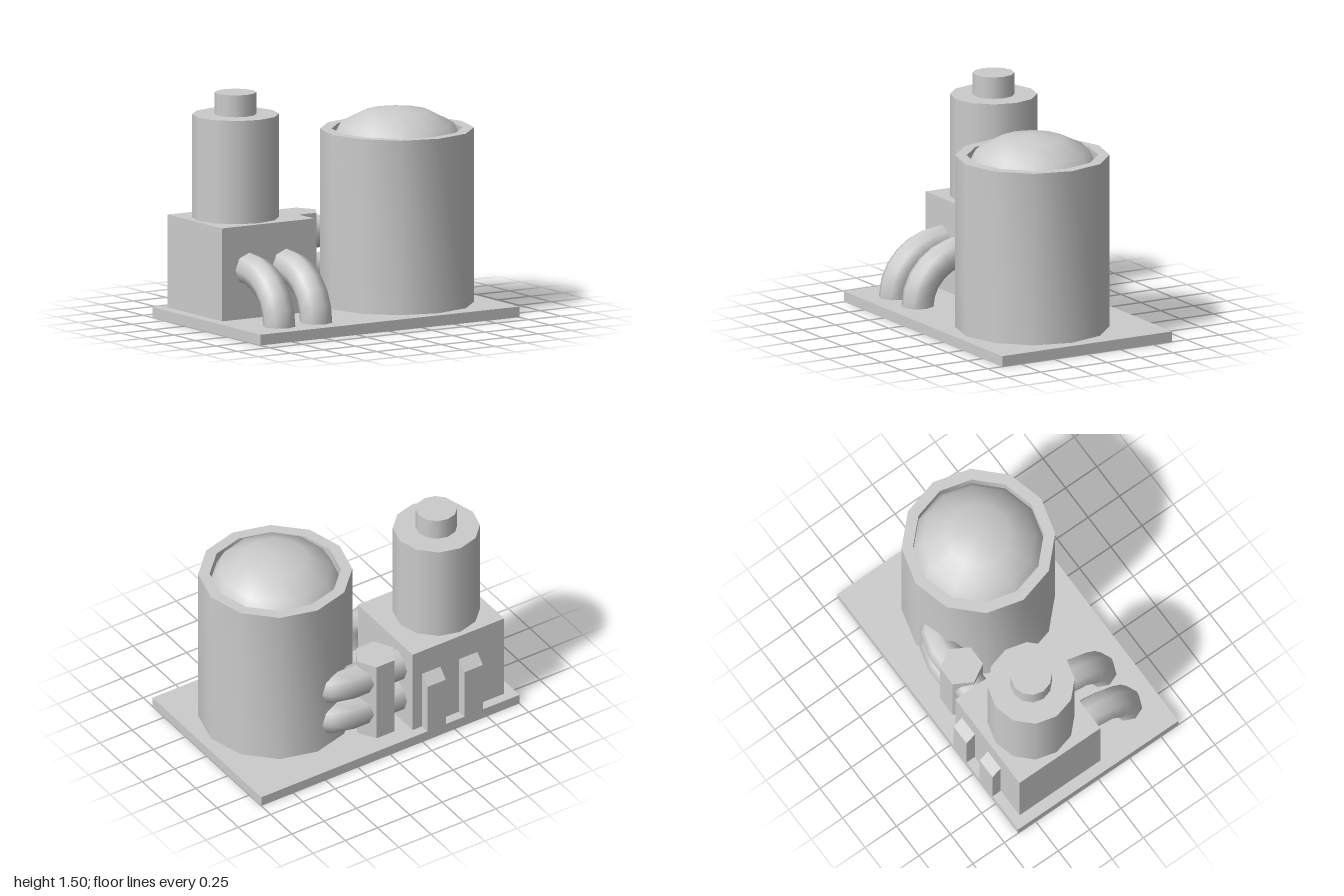
import * as THREE from 'three';
import { toCreasedNormals } from 'three/addons/utils/BufferGeometryUtils.js';

const FLOOR = 0.07; // top of the base slab

export function createModel() {
  const model = new THREE.Group();
  const grey = new THREE.MeshStandardMaterial({ color: 0xcccccc });
  const greyDouble = new THREE.MeshStandardMaterial({ color: 0xcccccc, side: THREE.DoubleSide });
  const greyFlat = new THREE.MeshStandardMaterial({ color: 0xcccccc, flatShading: true });

  function add(name, geometry, x = 0, y = 0, z = 0, material = grey) {
    const mesh = new THREE.Mesh(geometry, material);
    mesh.name = name;
    mesh.position.set(x, y, z);
    model.add(mesh);
    return mesh;
  }

  // Upright cylinder standing between two heights
  function drum(name, radius, y0, y1, x, z) {
    return add(name, new THREE.CylinderGeometry(radius, radius, y1 - y0, 12), x, (y0 + y1) / 2, z);
  }

  // Base slab, open underneath: drop the bottom face (fourth group of six indices)
  const slab = new THREE.BoxGeometry(2, FLOOR, 1.28);
  const index = Array.from(slab.index.array);
  index.splice(18, 6);
  slab.setIndex(index);
  slab.clearGroups();
  add('base', slab, 0, FLOOR / 2, 0, greyDouble);

  // Storage tank: wall, rim, recess and shallow dome in one profile
  const tankProfile = [[0.5, FLOOR], [0.5, 1.215], [0.425, 1.215], [0.425, 1.143]]
    .map(([r, y]) => new THREE.Vector2(r, y));
  for (let i = 1; i <= 3; i++) {
    const a = (i * Math.PI) / 6;
    tankProfile.push(new THREE.Vector2(i === 3 ? 0 : 0.425 * Math.cos(a), 1.143 + 0.214 * Math.sin(a)));
  }
  add('tank', toCreasedNormals(new THREE.LatheGeometry(tankProfile, 12), 0.9), 0.425, 0, 0.07);

  // Machine house with its chimney
  add('machineHouse', new THREE.BoxGeometry(0.71, 0.61, 0.645), -0.57, 0.375, -0.2525);
  drum('chimney', 0.283, 0.68, 1.357, -0.61, -0.255);
  drum('chimneyCap', 0.135, 1.357, 1.5, -0.61, -0.255);

  // Front pipes bending from the house down to the base
  class QuarterBend extends THREE.Curve {
    getPoint(t, target = new THREE.Vector3()) {
      const a = (t * Math.PI) / 2;
      return target.set(0, FLOOR + 0.325 * Math.cos(a), 0.07 + 0.355 * Math.sin(a));
    }
  }
  for (const x of [-0.715, -0.43]) {
    add('frontPipe', new THREE.TubeGeometry(new QuarterBend(), 6, 0.107, 8), x);
  }

  // Sloped ribs on the back of the house
  const ribShape = new THREE.Shape([
    [0.57, FLOOR], [0.64, FLOOR], [0.64, 0.43], [0.575, 0.495], [0.57, 0.495],
  ].map(([x, y]) => new THREE.Vector2(x, y)));
  for (const x of [-0.717, -0.43]) {
    const rib = new THREE.ExtrudeGeometry(ribShape, { depth: 0.143, bevelEnabled: false });
    rib.rotateY(Math.PI / 2); // profile x runs towards the back, depth along x
    add('backRib', rib, x);
  }

  // Hexagonal column that joins the two connecting pipes
  const column = new THREE.CylinderGeometry(0.14, 0.14, 0.575, 6);
  column.rotateY(Math.PI / 6);
  add('pipeColumn', column, -0.04, FLOOR + 0.2875, -0.4, greyFlat);

  // Connecting pipes: straight from the house, then an elbow into the tank
  class ElbowBend extends THREE.Curve {
    getPoint(t, target = new THREE.Vector3()) {
      const a = (t * Math.PI) / 2;
      return target.set(0.17 + 0.22 * Math.sin(a), 0, -0.18 - 0.22 * Math.cos(a));
    }
  }
  for (const y of [0.5, 0.255]) {
    const straight = new THREE.LineCurve3(new THREE.Vector3(-0.25, 0, -0.4), new THREE.Vector3(0.17, 0, -0.4));
    add('connectingPipe', new THREE.TubeGeometry(straight, 1, 0.108, 8), 0, y);
    add('connectingElbow', new THREE.TubeGeometry(new ElbowBend(), 3, 0.108, 8), 0, y);
  }

  return model;
}
